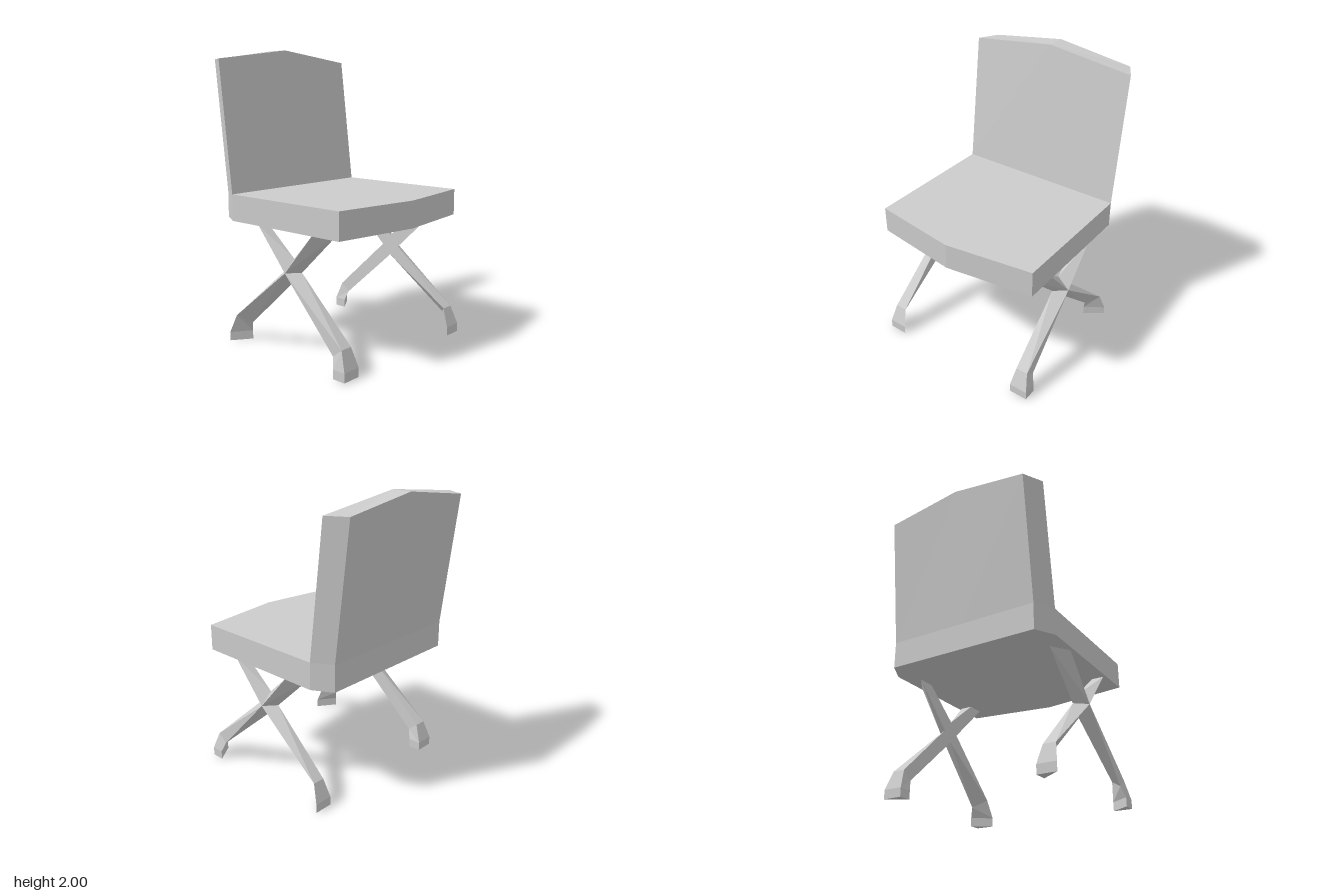
import * as THREE from 'three';
import { ConvexGeometry } from 'three/addons/geometries/ConvexGeometry.js';

const material = new THREE.MeshStandardMaterial({ color: 0xcccccc, flatShading: true });

// Closed solid through matching rings of [x, y, z] corners, faces turned outward.
function loft(rings) {
  const n = rings[0].length;
  const points = rings.flat().map((p) => new THREE.Vector3(...p));
  const last = (rings.length - 1) * n;
  const faces = [];
  for (let r = 0; r < last; r += n) {
    for (let i = 0; i < n; i++) {
      const j = (i + 1) % n;
      faces.push([r + i, r + j, r + n + j], [r + i, r + n + j, r + n + i]);
    }
  }
  for (let i = 1; i < n - 1; i++) {
    faces.push([0, i + 1, i], [last, last + i, last + i + 1]);
  }
  // A negative volume means the ring ran the other way round.
  let volume = 0;
  for (const [a, b, c] of faces) {
    volume += points[a].dot(points[b].clone().cross(points[c]));
  }
  if (volume < 0) faces.forEach((f) => f.reverse());
  const geometry = new THREE.BufferGeometry().setFromPoints(faces.flat().map((i) => points[i]));
  geometry.computeVertexNormals();
  return geometry;
}

function addMesh(parent, name, geometry) {
  const mesh = new THREE.Mesh(geometry, material);
  mesh.name = name;
  parent.add(mesh);
}

// Crossed legs of one side; side is +1 (left) or -1 (right).
function crossedLegs(side) {
  const group = new THREE.Group();
  group.name = side > 0 ? 'leftCrossedLegs' : 'rightCrossedLegs';
  const midZ = 0.08;
  const at = (x, y, z) => [side * x, y, midZ + z];

  // Joint where the bars cross: outer tip and flat inner diamond
  const tip = at(0.585, 0.57, 0);
  const under = at(0.5, 0.5, 0);
  const over = at(0.5, 0.65, 0);
  const edge = (s) => at(0.5, 0.57, s * 0.07);
  const joint = [tip, under, over, edge(1), edge(-1)];
  addMesh(group, 'joint', new ConvexGeometry(joint.map((p) => new THREE.Vector3(...p))));

  for (const s of [1, -1]) {
    const end = s > 0 ? 'front' : 'back';
    // Third corner lies outside on the front leg and inside on the back leg
    const footX = s > 0 ? 0.61 : 0.48;
    const ankleX = s > 0 ? 0.585 : 0.5;
    const foot = (y) => [at(0.61, y, s * 0.53), at(0.48, y, s * 0.53), at(footX, y, s * 0.44)];
    const ankle = [
      at(0.585, 0.185, s * 0.485),
      at(0.5, 0.185, s * 0.485),
      at(ankleX, 0.13, s * 0.415),
    ];
    addMesh(group, end + 'Leg', loft([foot(0), foot(0.06), ankle, [tip, edge(s), under]]));

    // Upper arm up to the seat
    const top = [at(0.585, 0.85, s * 0.245), at(0.5, 0.85, s * 0.365), at(0.5, 0.85, s * 0.245)];
    addMesh(group, end + 'SeatSupport', loft([[tip, edge(s), over], top]));
  }
  return group;
}

export function createModel() {
  const model = new THREE.Group();
  model.name = 'chair';

  // Seat slab with pointed front and chamfered rear corners
  const seat = (y) => [
    [0, y, 0.645], [0.605, y, 0.56], [0.605, y, -0.4], [0.53, y, -0.535],
    [-0.53, y, -0.535], [-0.605, y, -0.4], [-0.605, y, 0.56],
  ];
  addMesh(model, 'seat', loft([seat(0.85), seat(1.03)]));

  // Leaning backrest with a shallow peak
  const back = (sideY, midY, z) => [
    [0, midY, -0.4 + z], [0.605, sideY, -0.4 + z], [0.53, sideY, -0.535 + z],
    [0, midY, -0.535 + z], [-0.53, sideY, -0.535 + z], [-0.605, sideY, -0.4 + z],
  ];
  addMesh(model, 'backrest', loft([back(1.03, 1.03, 0), back(1.925, 2, -0.11)]));

  model.add(crossedLegs(1), crossedLegs(-1));
  return model;
}
